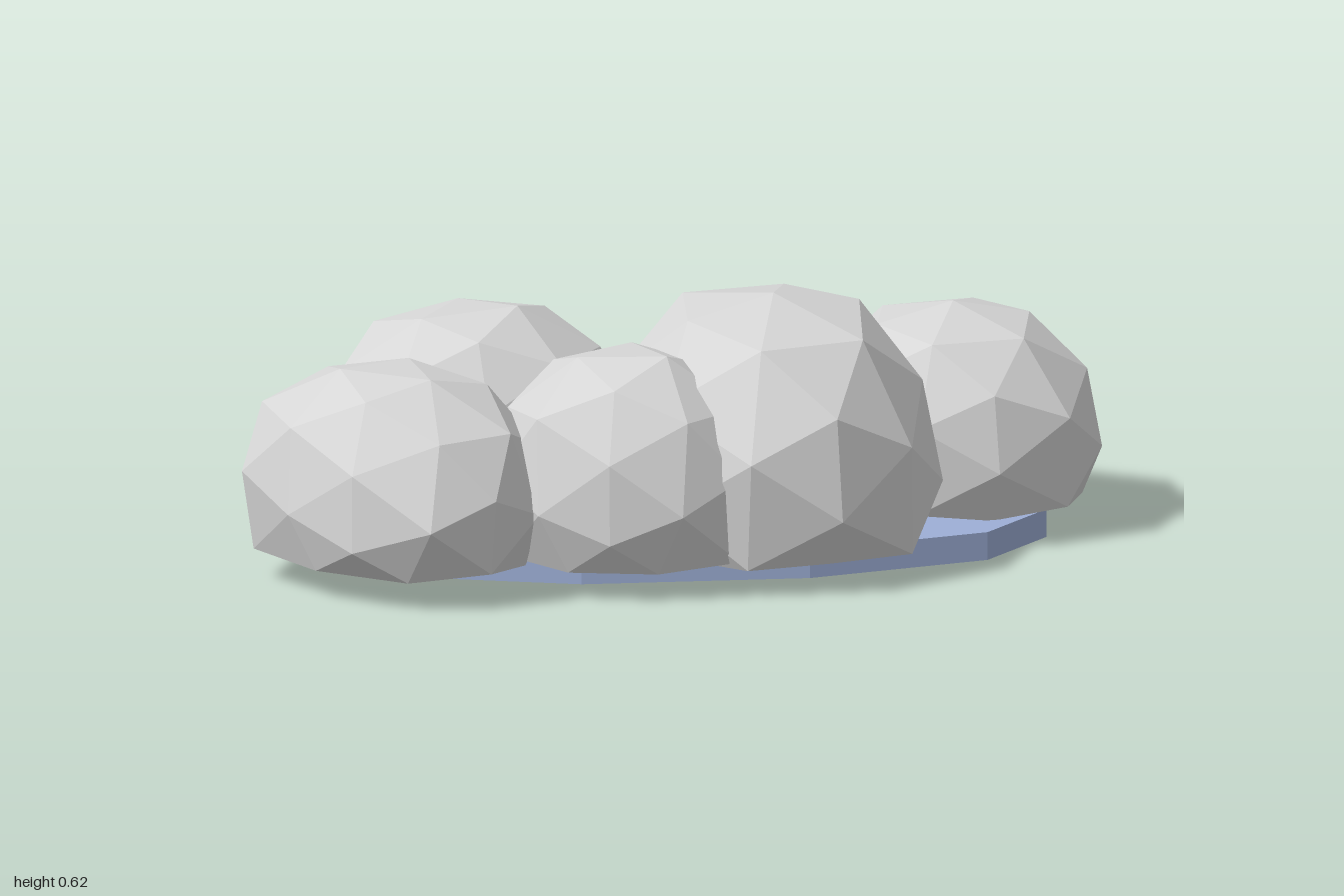
import * as THREE from 'three';
import { mergeVertices } from 'three/addons/utils/BufferGeometryUtils.js';

const FLOOR = 0.063; // underside of the cloud
const BOXINESS = 2.3; // 2 is a plain ball, higher is squarer

function seeded(seed) {
  let s = seed * 7919 + 17;
  return () => (s = (s * 16807) % 2147483647) / 2147483647;
}

// Faceted, slightly boxy and uneven ball, turned by spin and pressed flat at the bottom
function puffGeometry(centre, radii, spin, tilt, yaw, seed) {
  let geo = new THREE.IcosahedronGeometry(1, 1);
  geo.deleteAttribute('normal');
  geo.deleteAttribute('uv');
  geo = mergeVertices(geo, 1e-3);
  geo.rotateX(tilt).rotateY(yaw);
  const rand = seeded(seed);
  const pos = geo.attributes.position;
  const v = new THREE.Vector3();
  for (let i = 0; i < pos.count; i++) {
    v.fromBufferAttribute(pos, i);
    const sum = v.toArray().reduce((t, c) => t + Math.abs(c) ** BOXINESS, 0);
    v.multiplyScalar((0.98 + 0.045 * rand()) / sum ** (1 / BOXINESS));
    pos.setXYZ(i, v.x * radii[0], v.y * radii[1], v.z * radii[2]);
  }
  geo.rotateY(spin).translate(...centre);
  for (let i = 0; i < pos.count; i++) pos.setY(i, Math.max(FLOOR, pos.getY(i)));
  geo = geo.toNonIndexed(); // separate faces give flat facets
  geo.computeVertexNormals();
  return geo;
}

export function createModel() {
  const model = new THREE.Group();
  model.name = 'cloud';
  const cloudGrey = new THREE.MeshStandardMaterial({ color: 0xd6d6d6, flatShading: true });
  cloudGrey.name = 'cloudGrey';
  const baseBlue = new THREE.MeshStandardMaterial({ color: 0x9dafd6, flatShading: true });
  baseBlue.name = 'baseBlue';

  // Puffs: name, centre, radii, spin of the whole puff, tilt and turn of its facets
  const puffs = [
    ['mainPuff', [0.2, 0.21, 0.1], [0.39, 0.415, 0.47], 0, 0.08, 0.3],
    ['frontPuff', [-0.145, 0.2, 0.27], [0.32, 0.335, 0.32], 0, 0.35, 0.8],
    ['rightFrontPuff', [-0.675, 0.19, 0.24], [0.305, 0.315, 0.4], 0.5, 0.35, 0],
    ['rightBackPuff', [-0.43, 0.2, -0.27], [0.36, 0.325, 0.325], 0.5, 0.3, 0.6],
    ['leftPuff', [0.66, 0.2, -0.215], [0.34, 0.315, 0.36], 0, 0.05, 0.2],
    ['backPuffA', [-0.12, 0.19, -0.36], [0.22, 0.18, 0.23], 0, 0.2, 0.6],
    ['backPuffB', [0.13, 0.19, -0.37], [0.22, 0.2, 0.235], 0, 0.2, 0.1],
    ['backPuffC', [0.39, 0.2, -0.36], [0.23, 0.21, 0.25], 0, 0.2, 0.9],
    ['innerPuff', [0.41, 0.25, -0.2], [0.18, 0.2, 0.17], 0, 0.1, 0.7],
    ['backBump', [-0.43, 0.2, -0.39], [0.2, 0.24, 0.235], 0, 0.2, 0.4],
  ];
  puffs.forEach(([name, centre, radii, spin, tilt, yaw], i) => {
    const puff = new THREE.Mesh(
      puffGeometry(centre, radii, spin, tilt, yaw, i + 1), cloudGrey);
    puff.name = name;
    model.add(puff);
  });

  // Ten-sided oval base plate
  const plate = new THREE.Mesh(
    new THREE.CylinderGeometry(1, 1, 0.065, 10, 1, false, Math.PI / 10), baseBlue);
  plate.name = 'basePlate';
  plate.scale.set(0.85, 1, 0.37);
  plate.position.set(0.005, 0.0325, -0.007);
  model.add(plate);

  return model;
}
